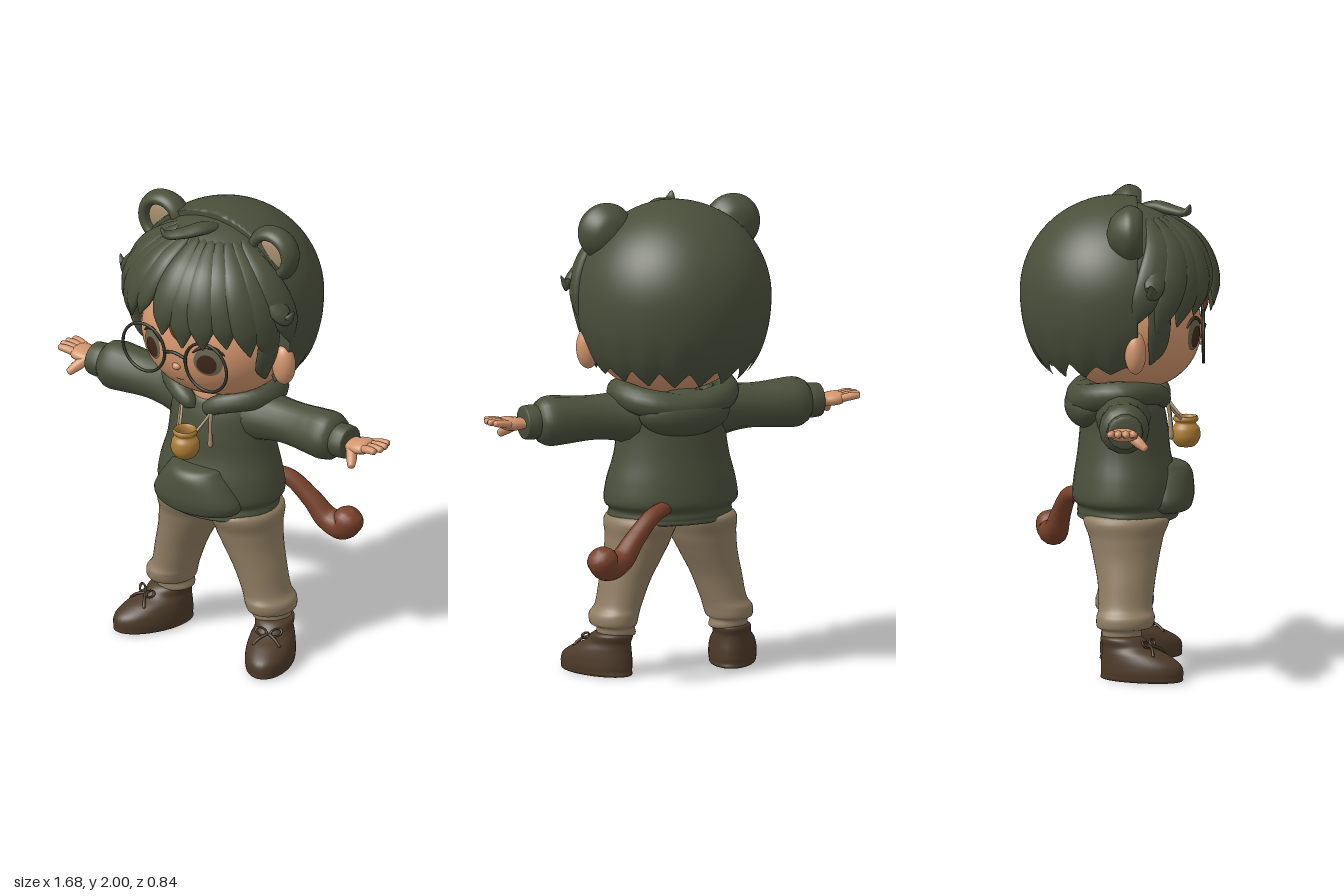
import * as THREE from 'three';

const mat = (name, color, side = THREE.FrontSide) => {
  const m = new THREE.MeshStandardMaterial({ color, side });
  m.name = name;
  return m;
};
const V = (x, y, z) => new THREE.Vector3(x, y, z);

// Smooth interpolation through rows of numbers
function spline(rows, t) {
  const n = rows.length - 1, f = Math.min(t * n, n - 1e-6), i = Math.floor(f), k = f - i;
  const at = (j) => rows[Math.max(0, Math.min(n, j))];
  return rows[0].map((_, c) => {
    const [a, b, d, e] = [at(i - 1)[c], at(i)[c], at(i + 1)[c], at(i + 2)[c]];
    return b + 0.5 * k * (d - a + k * (2 * a - 5 * b + 4 * d - e + k * (3 * (b - d) + e - a)));
  });
}

// Surface from a rule fn(u, v), closed around v
function grid(rows, cols, fn) {
  const pos = [], idx = [];
  for (let i = 0; i <= rows; i++)
    for (let j = 0; j < cols; j++) pos.push(...fn(i / rows, j / cols));
  for (let i = 0; i < rows; i++)
    for (let j = 0; j < cols; j++) {
      const a = i * cols + j, b = i * cols + (j + 1) % cols, c = a + cols, d = b + cols;
      idx.push(a, c, b, b, c, d);
    }
  const g = new THREE.BufferGeometry();
  g.setAttribute('position', new THREE.Float32BufferAttribute(pos, 3));
  g.setIndex(idx);
  g.computeVertexNormals();
  return g;
}

// Stacked ellipses: rows of [y, centre x, radius x, centre z, radius z]
function loft(rings) {
  const ys = rings.map((r) => r[0]), lo = Math.min(...ys), hi = Math.max(...ys);
  return grid(rings.length * 6, 36, (u, v) => {
    const [y, xc, rx, zc, rz] = spline(rings, u), a = v * Math.PI * 2;
    return [xc + Math.max(rx, 0) * Math.cos(a), Math.min(hi, Math.max(lo, y)), zc + Math.max(rz, 0) * Math.sin(a)];
  });
}

// Tapered, round-ended tube along points; flat squashes it along the direction away from centre
function sweep(points, radii, flat = 1, centre = V(0, -50, 0), end = 0.1) {
  const curve = new THREE.CatmullRomCurve3(points);
  return grid(40, 14, (u, v) => {
    const p = curve.getPoint(u), t = curve.getTangent(u);
    const n = p.clone().sub(centre);
    n.addScaledVector(t, -n.dot(t)).normalize();
    const s = t.clone().cross(n), e = Math.min(1, u / end, (1 - u) / end);
    const r = Math.max(0, spline(radii.map((x) => [x]), u)[0]) * Math.sqrt(Math.max(0, 1 - (1 - e) ** 2));
    const a = v * Math.PI * 2;
    p.addScaledVector(s, r * Math.cos(a)).addScaledVector(n, r * flat * Math.sin(a));
    return [p.x, p.y, p.z];
  });
}

// Depth of the face surface at x, y
const headR = (y) => Math.pow(Math.max(0, 1 - ((y - 1.45) / 0.26) ** 2), 0.4);
const faceZ = (x, y) => 0.05 + 0.3 * headR(y) * Math.sqrt(Math.max(0, 1 - (x / (0.335 * headR(y))) ** 2));

// Point on the fringe surface at an azimuth (0 is the front) and height
function fringe(a, y, k = 1) {
  const d = Math.min(1, Math.max(-0.22, (y - 1.6) / 0.37)), r = Math.sqrt(1 - d * d) * k;
  return V(0.4 * r * Math.sin(a), y, 0.03 + 0.37 * r * Math.cos(a));
}

export function createModel() {
  const model = new THREE.Group();
  const green = mat('forestGreen', 0x4a4f3b, THREE.DoubleSide), skin = mat('skin', 0xd2956d);
  const khaki = mat('khaki', 0x917e63), leather = mat('bootLeather', 0x4d3a29), russet = mat('russet', 0x78412b);
  const honey = mat('honey', 0xab7b35), tan = mat('tan', 0xa48c6c), frame = mat('frameDark', 0x2e3326);
  const iris = mat('irisBrown', 0x40281b), eyeGrey = mat('eyeGrey', 0x69674f);

  const add = (name, geo, m, parent = model) => {
    const mesh = new THREE.Mesh(geo, m);
    mesh.name = name;
    parent.add(mesh);
    return mesh;
  };
  const ball = (name, m, p, r) => {
    const b = add(name, new THREE.SphereGeometry(1, 32, 22), m);
    b.position.set(...p);
    b.scale.set(...r);
    return b;
  };
  const patch = (name, m, cx, cy, rx, ry, off) => add(name, grid(6, 28, (u, v) => {
    const x = cx + u * rx * Math.cos(v * Math.PI * 2), y = cy + u * ry * Math.sin(v * Math.PI * 2);
    return [x, y, faceZ(x, y) + off];
  }), m);

  // Head and face
  add('head', grid(40, 48, (u, v) => {
    const y = 1.45 - 0.26 * Math.cos(u * Math.PI), r = headR(y), a = v * Math.PI * 2;
    return [0.335 * r * Math.cos(a), y, 0.05 + 0.3 * r * Math.sin(a)];
  }), skin);
  ball('neck', skin, [0, 1.17, 0.07], [0.1, 0.1, 0.1]);
  ball('nose', skin, [0, 1.385, 0.345], [0.02, 0.015, 0.015]);
  patch('mouth', russet, 0, 1.315, 0.022, 0.003, 0.003);

  // Hair: back shell with a pointed hem, cut off flat in front
  add('backHair', grid(44, 192, (u, v) => {
    const a = v * Math.PI * 2, saw = Math.abs(((v * 17) % 1) * 2 - 1);
    const back = Math.max(0, -Math.cos(a));
    const hem = 1.31 - 0.02 * back + 0.07 * (saw - 0.5) * Math.min(1, 0.4 + back);
    const y = hem + (2 - hem) * 0.5 * (1 + Math.cos(u * Math.PI) * 1) * (1 - 0) ;
    const d = (y - 1.6) / 0.4;
    const groove = 1 - 0.035 * saw * Math.max(0, (1.48 - y) / 0.2);
    const r = 0.41 * Math.pow(Math.max(0, 1 - d * d), d > 0 ? 0.5 : 0.27) * groove;
    return [r * Math.sin(a), y, Math.min(0.08, r * Math.cos(a))];
  }), green);
  add('fringeBase', grid(24, 64, (u, v) => {
    const a = v * Math.PI * 2, hem = 1.68 - 0.1 * (1 - Math.cos(a));
    return fringe(a, hem + (1.97 - hem) * Math.cos(u * Math.PI / 2)).toArray();
  }), green);
  const locks = [[-86, 1.5], [-70, 1.47], [-54, 1.49], [-40, 1.53], [-27, 1.58], [-5, 1.54],
    [9, 1.5], [23, 1.51], [38, 1.52], [53, 1.48], [67, 1.45], [84, 1.5]];
  const middle = V(0, 1.6, 0.03), rad = Math.PI / 180;
  locks.forEach(([deg, tip], i) => {
    const pts = [0, 0.25, 0.5, 0.75, 1].map((t) =>
      fringe((deg * (0.7 + 0.3 * t) + 5 * (1 - t)) * rad, 1.93 + (tip - 1.93) * t, 1 + 0.015 * (i % 2)));
    add('fringeLock', sweep(pts, [0.025, 0.055, 0.067, 0.055, 0.01], 0.42, middle), green);
  });
  add('innerLock', sweep([V(0.01, 1.62, 0.35), V(0.03, 1.56, 0.365), V(0.05, 1.5, 0.362)], [0.05, 0.045, 0.01], 0.3, middle), russet);
  add('cowlick', sweep([V(0.03, 1.94, 0.08), V(0, 1.955, 0.16), V(-0.05, 1.945, 0.23), V(-0.1, 1.945, 0.285), V(-0.115, 1.98, 0.3)],
    [0.03, 0.04, 0.035, 0.025, 0.008], 0.6), green);

  for (const s of [1, -1]) {
    add('sideFlick', sweep([V(s * 0.33, 1.76, 0.16), V(s * 0.39, 1.68, 0.15), V(s * 0.425, 1.65, 0.14), V(s * 0.455, 1.69, 0.13)],
      [0.03, 0.045, 0.03, 0.006], 0.6, middle), green);
    add('sideburn', sweep([V(s * 0.36, 1.6, 0.17), V(s * 0.345, 1.48, 0.17), V(s * 0.32, 1.4, 0.16), V(s * 0.305, 1.33, 0.13)],
      [0.05, 0.05, 0.04, 0.008], 0.45, middle), green);
    ball('ear', skin, [s * 0.355, 1.39, 0.07], [0.052, 0.09, 0.045]);

    // Bear ears with dished fronts
    const ear = add('bearEar', loft([[-0.08, 0], [-0.06, 0.07], [0, 0.118], [0.045, 0.115], [0.07, 0.092], [0.06, 0.07], [0.03, 0.06], [0.02, 0]]
      .map(([y, r]) => [y, 0, r, 0, r])), green);
    ear.position.set(s * 0.285, 1.88, 0.03);
    ear.rotation.x = Math.PI / 2;
    ball('innerBearEar', tan, [s * 0.285, 1.88, 0.06], [0.07, 0.07, 0.02]);

    // Eyes and glasses
    patch('eye', eyeGrey, s * 0.145, 1.435, 0.058, 0.066, 0.003);
    patch('iris', iris, s * 0.142, 1.425, 0.04, 0.045, 0.006);
    add('eyelid', sweep([-1, -0.5, 0, 0.5, 1].map((t) => {
      const x = s * 0.145 + t * 0.065, y = 1.505 - 0.035 * t * t;
      return V(x, y, faceZ(x, y) + 0.003);
    }), [0.004, 0.007, 0.008, 0.007, 0.004]), iris);
    const rim = add('glassesRim', new THREE.TorusGeometry(0.108, 0.0065, 10, 48), frame);
    rim.position.set(s * 0.162, 1.43, 0.355);

    // Sleeves, cuffs and hands
    add('sleeve', sweep([V(s * 0.1, 1.09, 0.02), V(s * 0.3, 1.1, 0.02), V(s * 0.46, 1.1, 0.02), V(s * 0.63, 1.1, 0.025)],
      [0.12, 0.115, 0.1, 0.094, 0.096, 0.102, 0.105, 0.085], 1), green);
    add('cuff', sweep([V(s * 0.58, 1.1, 0.025), V(s * 0.625, 1.1, 0.025), V(s * 0.675, 1.1, 0.025)], [0.072, 0.077, 0.073], 0.95), green);
    add('palm', sweep([V(s * 0.64, 1.1, 0.02), V(s * 0.7, 1.1, 0.02), V(s * 0.775, 1.108, 0.015)], [0.042, 0.05, 0.062, 0.056], 0.48, undefined, 0.2), skin);
    [[-0.043, 0.825], [-0.014, 0.838], [0.017, 0.84], [0.046, 0.828]].forEach(([z, x]) =>
      add('finger', sweep([V(s * 0.74, 1.105, 0.012 + z * 0.8), V(s * 0.79, 1.115, 0.01 + z), V(s * x, 1.118, 0.01 + z * 1.15)], [0.018, 0.018, 0.014], 0.9), skin));
    add('thumb', sweep([V(s * 0.69, 1.095, 0.045), V(s * 0.72, 1.065, 0.085), V(s * 0.74, 1.04, 0.115)], [0.025, 0.022, 0.015]), skin);

    // Drawstrings
    add('drawstring', sweep([V(s * 0.075, 1.16, 0.2), V(s * 0.08, 1.09, 0.215), V(s * 0.085, 0.98, 0.222)], [0.008, 0.008, 0.008, 0.012]), tan);
    add('potCord', sweep([V(s * 0.09, 1.17, 0.18), V(s * 0.06, 1.1, 0.23), V(s * 0.04, 1.055, 0.27)], [0.006, 0.006]), tan);

    // Trousers gathered at the ankles
    add('trouserLeg', loft([[0.16, 0.25, 0, 0.02, 0], [0.17, 0.25, 0.075, 0.015, 0.075], [0.205, 0.255, 0.08, 0.015, 0.085],
      [0.22, 0.26, 0.096, 0.025, 0.115], [0.26, 0.255, 0.102, 0.03, 0.122], [0.3, 0.235, 0.096, 0.03, 0.113], [0.4, 0.205, 0.106, 0.033, 0.12],
      [0.5, 0.168, 0.122, 0.033, 0.138], [0.58, 0.145, 0.138, 0.033, 0.155], [0.67, 0.13, 0.142, 0.035, 0.17], [0.7, 0.13, 0, 0.035, 0]]
      .map(([y, x, ...r]) => [y, s * x, ...r])), khaki);

    // Boots turned outward, with bows
    const boot = new THREE.Group();
    boot.name = 'boot';
    boot.position.set(s * 0.262, 0, 0);
    boot.rotation.y = s * 0.42;
    model.add(boot);
    add('bootBody', loft([[0, 0, 0, 0.11, 0], [0, 0, 0.085, 0.105, 0.165], [0.025, 0, 0.1, 0.108, 0.182], [0.07, 0, 0.1, 0.103, 0.178],
      [0.11, 0, 0.092, 0.075, 0.145], [0.14, 0, 0.08, 0.04, 0.108], [0.18, 0, 0.075, 0.015, 0.085], [0.195, 0, 0, 0.015, 0]]), leather, boot);
    for (const t of [1, -1]) {
      const bow = add('laceLoop', new THREE.TorusGeometry(0.025, 0.006, 8, 20), leather, boot);
      bow.position.set(t * 0.032, 0.155, 0.14);
      bow.scale.y = 0.6;
      bow.rotation.set(-0.6, 0, t * 0.4);
      add('laceEnd', sweep([V(0, 0.15, 0.145), V(t * 0.035, 0.135, 0.17), V(t * 0.06, 0.11, 0.185)], [0.006, 0.006]), leather, boot);
    }
  }
  add('glassesBridge', sweep([V(-0.056, 1.44, 0.355), V(0, 1.455, 0.362), V(0.056, 1.44, 0.355)], [0.0065, 0.0065]), frame);

  // Hoodie body, pouch and collar
  add('hoodieBody', loft([[0.64, 0, 0, 0.04, 0], [0.645, 0, 0.245, 0.04, 0.19], [0.67, 0, 0.268, 0.04, 0.21], [0.7, 0, 0.265, 0.035, 0.205],
    [0.735, 0, 0.289, 0.03, 0.222], [0.82, 0, 0.278, 0.03, 0.215], [0.92, 0, 0.25, 0.025, 0.195], [1.02, 0, 0.235, 0.025, 0.185],
    [1.12, 0, 0.23, 0.02, 0.17], [1.18, 0, 0.18, 0.01, 0.14], [1.2, 0, 0, 0.01, 0]]), green);
  add('pouch', loft([[0.67, 0, 0, 0.2, 0], [0.68, 0, 0.17, 0.19, 0.1], [0.72, 0, 0.212, 0.19, 0.125], [0.78, 0, 0.19, 0.19, 0.128],
    [0.85, 0, 0.14, 0.19, 0.115], [0.88, 0, 0.11, 0.18, 0.08], [0.885, 0, 0, 0.16, 0]]), green);
  const half = [[0.02, 1.125, 0.19], [0.1, 1.17, 0.175], [0.2, 1.195, 0.1], [0.23, 1.195, 0], [0.16, 1.17, -0.12]];
  const collar = [...half.map((p) => V(...p)), V(0, 1.15, -0.16), ...half.map(([x, y, z]) => V(-x, y, z)).reverse()];
  add('hoodCollar', sweep(collar, [0.03, 0.042, 0.05, 0.055, 0.06, 0.06, 0.06, 0.055, 0.05, 0.042, 0.03], 1, undefined, 0.04), green);
  ball('hoodDrape', green, [0, 1.12, -0.12], [0.2, 0.1, 0.105]).rotation.x = 0.3;

  // Honey pot pendant
  const pot = add('honeyPot', loft([[0.94, 0], [0.942, 0.035], [0.975, 0.059], [1.015, 0.058], [1.04, 0.043], [1.055, 0.053], [1.07, 0.046],
    [1.05, 0.036], [1.0, 0.035], [0.995, 0]].map(([y, r]) => [y, 0, r, 0, r])), honey);
  pot.position.z = 0.283;

  // Tail with a rounded, upturned tip
  add('tail', sweep([V(0.06, 0.73, -0.13), V(0.17, 0.71, -0.2), V(0.27, 0.62, -0.235), V(0.34, 0.54, -0.255), V(0.41, 0.525, -0.27), V(0.455, 0.6, -0.285)],
    [0.03, 0.035, 0.042, 0.052, 0.064, 0.066], 1, V(0, 0, 50), 0.12), russet);
  return model;
}
